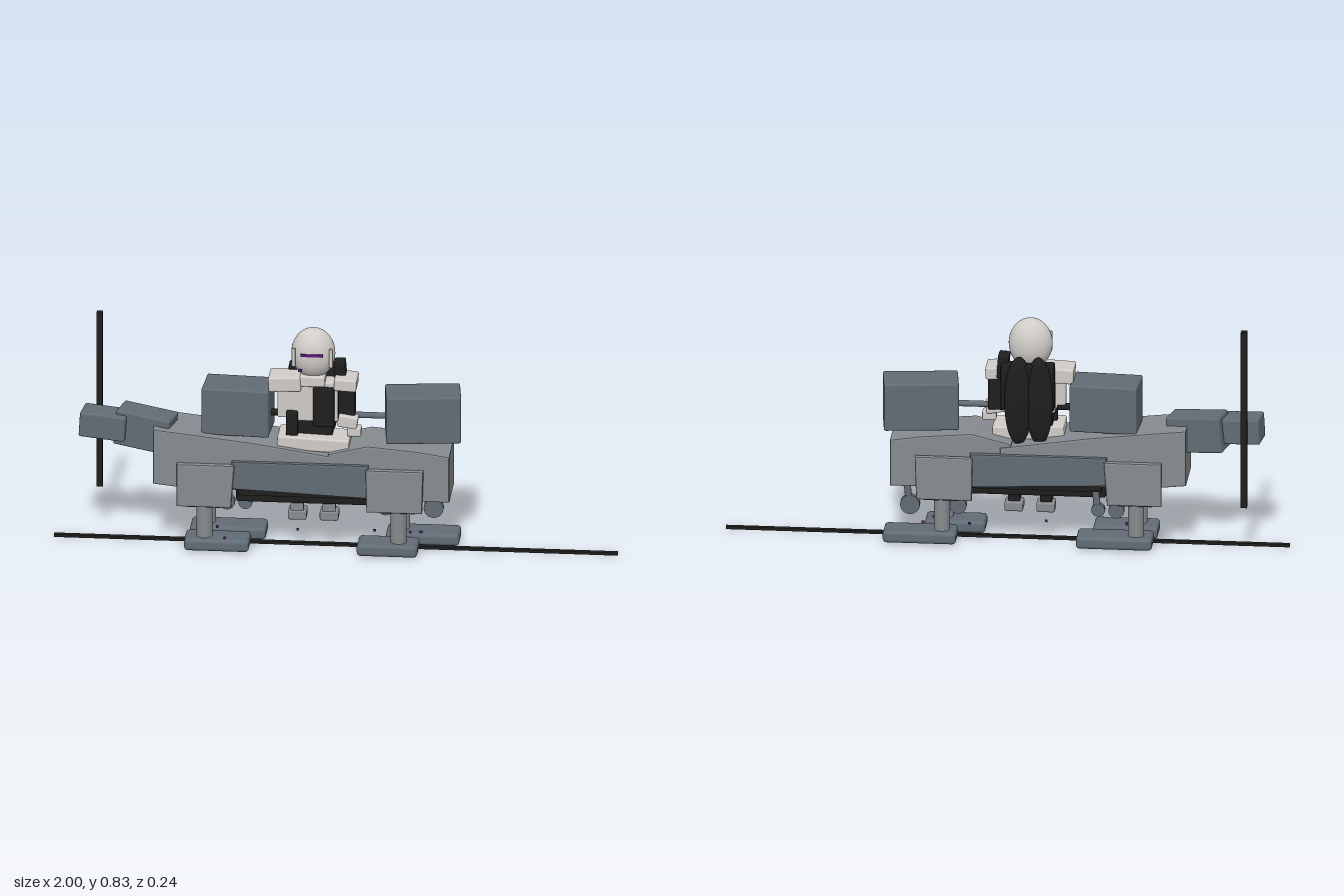
import * as THREE from 'three';
import { RoundedBoxGeometry } from 'three/addons/geometries/RoundedBoxGeometry.js';

const mat = (name, color) => {
  const m = new THREE.MeshStandardMaterial({ color });
  m.name = name;
  return m;
};

export function createModel() {
  const root = new THREE.Group();
  root.name = 'walkerWithRider';
  const grey = mat('hullGrey', 0x868b8f);
  const slate = mat('slateGrey', 0x626c74);
  const white = mat('armourWhite', 0xd0ccc8);
  const black = mat('black', 0x1e1e1e);
  const purple = mat('purple', 0x6a1a8c);

  const add = (name, geometry, material, x, y, z, rot = [0, 0, 0]) => {
    const m = new THREE.Mesh(geometry, material);
    m.name = name;
    m.position.set(x, y, z);
    m.rotation.set(...rot);
    root.add(m);
    return m;
  };
  // softened box, centred on its position
  const box = (name, material, [w, h, d], [x, y, z], rot, r = 0.007) =>
    add(name, new RoundedBoxGeometry(w, h, d, 2, Math.min(r, w / 3, h / 3, d / 3)), material, x, y, z, rot);
  const plain = (name, material, [w, h, d], [x, y, z], rot) =>
    add(name, new THREE.BoxGeometry(w, h, d), material, x, y, z, rot);
  const cyl = (name, material, r, h, [x, y, z], rot, r2 = r) =>
    add(name, new THREE.CylinderGeometry(r, r2, h, 24), material, x, y, z, rot);
  const ball = (name, material, [rx, ry, rz], [x, y, z], rot) => {
    const g = new THREE.SphereGeometry(1, 32, 24).scale(rx, ry, rz);
    return add(name, g, material, x, y, z, rot);
  };
  // bevelled side profile, extruded across z
  const slab = (name, material, points, z0, z1) => {
    const b = 0.006;
    const shape = new THREE.Shape(points.map(p => new THREE.Vector2(...p)));
    const g = new THREE.ExtrudeGeometry(shape, {
      depth: z1 - z0 - 2 * b, bevelEnabled: true, bevelSize: b, bevelThickness: b, bevelOffset: -b, bevelSegments: 2
    });
    return add(name, g, material, 0, 0, z0 + b);
  };

  // long ground bar and upright bar
  plain('groundBar', black, [2, 0.01, 0.018], [0, 0.005, 0]);
  plain('uprightBar', black, [0.022, 0.66, 0.026], [-0.844, 0.5, -0.071]);

  // hull: sloping front half, middle and rear block
  slab('foreHull', grey, [[-0.64, 0.25], [-0.64, 0.457], [-0.3, 0.42], [0.02, 0.372],
    [0.02, 0.24], [-0.5, 0.235]], -0.1, 0.1);
  slab('rearHull', grey, [[-0.02, 0.24], [-0.02, 0.385], [0.12, 0.42], [0.3, 0.405],
    [0.41, 0.388], [0.41, 0.215], [0.2, 0.215]], -0.096, 0.1);
  box('belly', black, [0.5, 0.075, 0.09], [-0.1, 0.212, 0.005]);
  plain('bellyTray', black, [0.46, 0.03, 0.17], [-0.11, 0.228, 0]);

  // armour plates and legs on both sides
  for (const s of [1, -1]) {
    slab('sidePanel', slate, [[-0.36, 0.245], [-0.36, 0.35], [0.125, 0.35], [0.125, 0.225]],
      s > 0 ? 0.09 : -0.114, s > 0 ? 0.114 : -0.09);
    const z0 = s > 0 ? 0.098 : -0.122, z1 = s > 0 ? 0.122 : -0.098;
    slab('forePlate', grey, [[-0.555, 0.176], [-0.555, 0.337], [-0.35, 0.337], [-0.362, 0.176]], z0, z1);
    slab('rearPlate', grey, [[0.118, 0.176], [0.115, 0.337], [0.32, 0.337], [0.315, 0.176]], z0, z1);
    for (const x of [-0.46, 0.228]) {
      box('hip', slate, [0.13, 0.09, 0.06], [x, 0.21, s * 0.068]);
      cyl('leg', grey, 0.028, 0.15, [x, 0.115, s * 0.069]);
    }
  }
  for (const [x, w, z] of [[-0.415, 0.23, 0.063], [-0.385, 0.27, -0.062], [0.19, 0.215, 0.063], [0.305, 0.26, -0.062]])
    box('foot', slate, [w, 0.045, 0.107], [x, 0.028, z], [0, 0, 0], 0.014);

  // round pads hanging on struts
  for (const [x, r, z] of [[0.342, 0.035, -0.053], [0.172, 0.03, -0.05], [-0.39, 0.028, -0.05], [-0.325, 0.024, -0.05]]) {
    cyl('pad', slate, r, 0.022, [x, 0.135, z], [Math.PI / 2, 0, 0]);
    box('padStrut', slate, [0.024, 0.1, 0.02], [x + 0.008, 0.185, z], [0, 0, -0.1]);
  }

  // neck and head of the walker
  box('neck', slate, [0.2, 0.13, 0.105], [-0.675, 0.424, 0], [0, -0.23, -0.1]);
  box('head', slate, [0.165, 0.092, 0.1], [-0.82, 0.44, 0.003], [0, -0.12, -0.06]);

  // cargo boxes
  box('foreCargo', slate, [0.24, 0.175, 0.15], [-0.348, 0.518, -0.003], [0, -0.06, 0]);
  box('rearCargo', slate, [0.265, 0.175, 0.145], [0.308, 0.508, -0.01], [0, 0.12, 0]);
  cyl('cargoArm', slate, 0.011, 0.13, [0.12, 0.5, 0], [0, 0, Math.PI / 2]);
  cyl('cargoArm', black, 0.013, 0.07, [-0.21, 0.5, 0], [0, 0, Math.PI / 2]);

  // rider's seat, torso and shoulders
  box('lap', white, [0.255, 0.05, 0.12], [-0.075, 0.41, 0.02], [0, 0, -0.04]);
  box('waist', black, [0.15, 0.09, 0.07], [-0.085, 0.465, 0]);
  box('chest', white, [0.18, 0.15, 0.075], [-0.08, 0.56, 0.003]);
  box('chestPanel', black, [0.075, 0.15, 0.02], [-0.04, 0.542, 0.038]);
  box('collar', white, [0.09, 0.04, 0.08], [-0.08, 0.64, 0.015]);
  box('rightShoulder', white, [0.115, 0.055, 0.1], [-0.178, 0.627, 0.008], [0, 0, 0.05]);
  box('leftShoulder', white, [0.08, 0.045, 0.1], [0.037, 0.63, 0.008], [0, 0, -0.05]);

  // rider's arms
  box('rightUpperArm', white, [0.05, 0.11, 0.05], [-0.18, 0.55, 0.015]);
  box('rightForearm', black, [0.042, 0.1, 0.045], [-0.152, 0.475, 0.04]);
  box('leftUpperArm', black, [0.06, 0.13, 0.05], [0.04, 0.55, 0.005]);
  box('leftForearm', white, [0.07, 0.045, 0.05], [0.045, 0.488, 0.025], [0, 0, -0.15]);
  box('leftHand', white, [0.05, 0.035, 0.04], [0.068, 0.452, 0.03]);

  // rider's helmet
  ball('helmet', white, [0.078, 0.093, 0.063], [-0.08, 0.734, 0.005]);
  for (const s of [1, -1])
    box('earPlate', white, [0.014, 0.07, 0.008], [-0.08 + s * 0.066, 0.73, 0.049]);
  plain('visor', purple, [0.08, 0.009, 0.009], [-0.08, 0.745, 0.066]);
  plain('cheekLight', purple, [0.012, 0.008, 0.008], [-0.123, 0.682, 0.052]);

  // backpack and folded wings
  box('backpack', black, [0.19, 0.17, 0.05], [-0.075, 0.59, -0.045]);
  box('packPost', black, [0.04, 0.09, 0.06], [0.015, 0.655, -0.015], [0, 0, 0.08]);
  for (const s of [1, -1])
    ball('wing', black, [0.052, 0.165, 0.026], [-0.08 + s * 0.036, 0.54, -0.064], [0, s * 0.3, 0]);

  // rider's lower legs below the belly
  for (const x of [-0.135, -0.022]) {
    plain('riderLeg', black, [0.042, 0.06, 0.036], [x, 0.165, 0.008]);
    plain('riderShin', grey, [0.046, 0.05, 0.008], [x, 0.163, 0.029]);
    box('riderFoot', grey, [0.066, 0.036, 0.06], [x, 0.124, 0.007]);
  }

  // small lights scattered low down
  for (const [x, y, z] of [[-0.135, 0.062, 0.013], [-0.42, 0.062, 0.013], [-0.385, 0.055, 0.1],
    [0.135, 0.055, -0.018], [0.265, 0.065, 0.013], [0.3, 0.055, -0.018]])
    plain('spark', purple, [0.009, 0.008, 0.006], [x, y, z]);

  return root;
}
